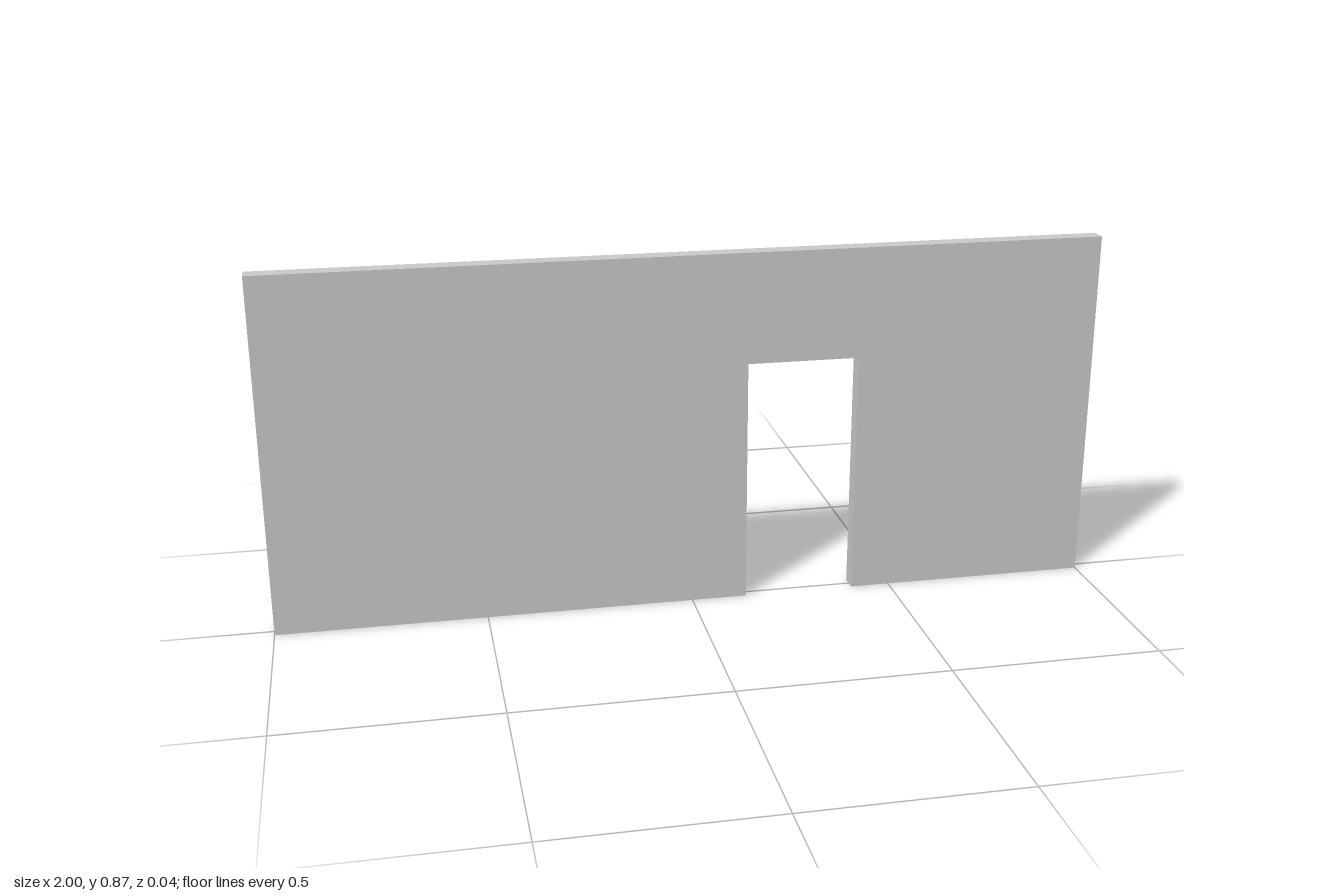
import * as THREE from 'three';

const HEIGHT = 0.865;
const THICKNESS = 0.042;
const DOOR_LEFT = 0.134;
const DOOR_RIGHT = 0.404;
const DOOR_TOP = 0.597;

export function createModel() {
  const group = new THREE.Group();
  group.name = 'wallWithDoorway';
  const material = new THREE.MeshStandardMaterial({ color: 0xcccccc });

  // A wall slab spanning x0..x1, from y0 up to the top of the wall
  const addSlab = (name, x0, x1, y0) => {
    const slab = new THREE.Mesh(new THREE.BoxGeometry(x1 - x0, HEIGHT - y0, THICKNESS), material);
    slab.name = name;
    slab.position.set((x0 + x1) / 2, (y0 + HEIGHT) / 2, 0);
    group.add(slab);
  };

  // Wide panel, panel over the doorway, narrow panel
  addSlab('wideWallPanel', -1, DOOR_LEFT, 0);
  addSlab('doorwayLintel', DOOR_LEFT, DOOR_RIGHT, DOOR_TOP);
  addSlab('narrowWallPanel', DOOR_RIGHT, 1, 0);

  return group;
}
